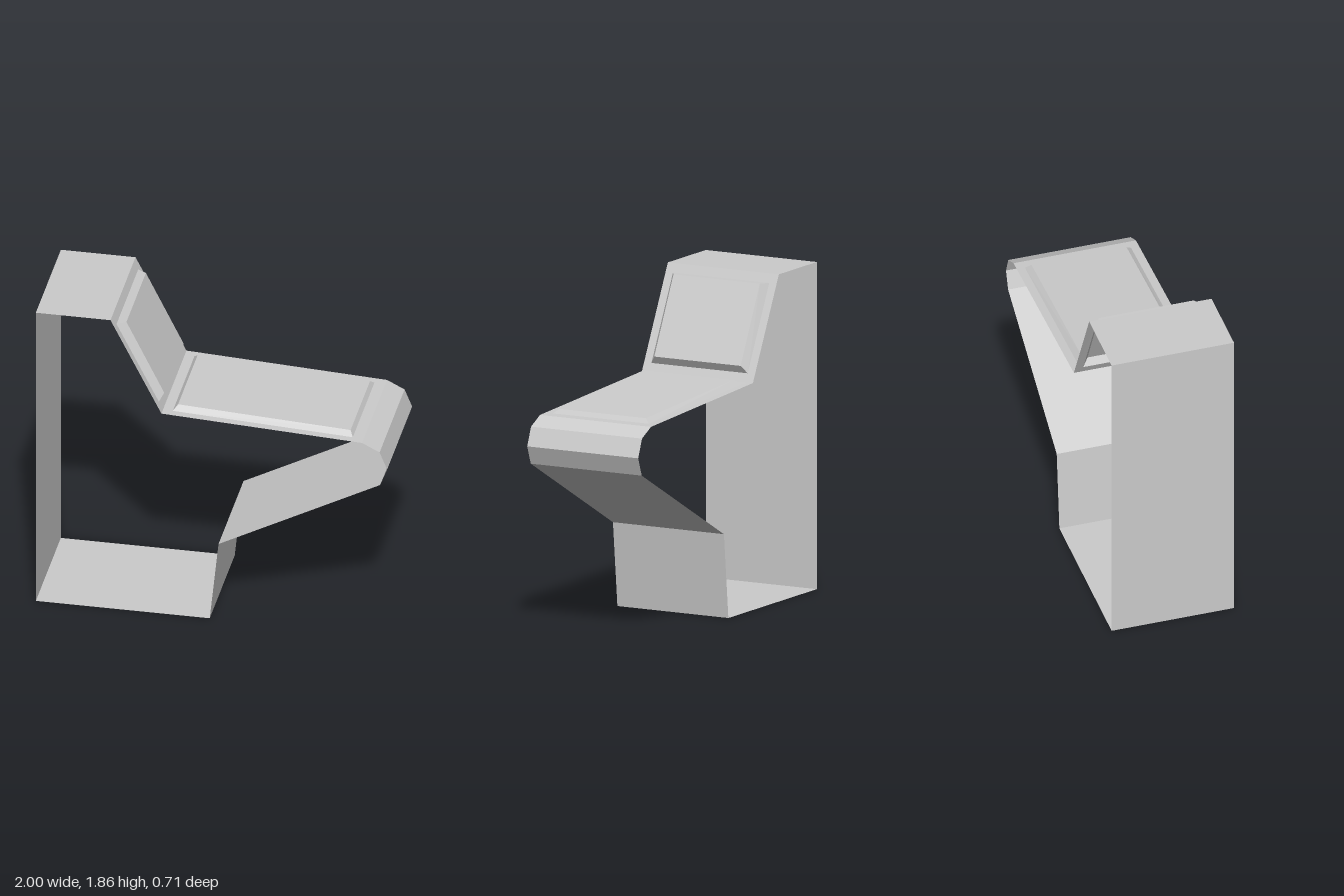
import * as THREE from 'three';

const HALF = 0.3575; // half depth of the ribbon
const material = new THREE.MeshStandardMaterial({
  color: 0xcccccc, flatShading: true, side: THREE.DoubleSide,
});

// Rectangle spanning profile points p to q, from +z to -z
const rect = ([px, py], [qx, qy], z) => [[px, py, z], [qx, qy, z], [qx, qy, -z], [px, py, -z]];

// Flat-faced mesh from a list of four-cornered faces
function quadMesh(name, quads) {
  const positions = quads.flatMap(([a, b, c, d]) => [a, b, c, a, c, d]).flat();
  const geometry = new THREE.BufferGeometry();
  geometry.setAttribute('position', new THREE.Float32BufferAttribute(positions, 3));
  geometry.computeVertexNormals();
  const mesh = new THREE.Mesh(geometry, material);
  mesh.name = name;
  return mesh;
}

// Faces joining an outer rectangle to an inner one
const ring = (outer, inner) => outer.map((a, i) => {
  const j = (i + 1) % 4;
  return [a, outer[j], inner[j], inner[i]];
});

// Flat border with a bevelled pad raised out of its opening, hollow from behind
function paddedPanel(name, border, base, top) {
  const group = new THREE.Group();
  group.name = name;
  group.add(
    quadMesh(name + 'Border', ring(border, base)),
    quadMesh(name + 'Pad', [...ring(base, top), top]),
  );
  return group;
}

export function createModel() {
  const model = new THREE.Group();
  model.name = 'ribbonConsole';

  // Side profile of the thin folded ribbon, from the back foot round to the front foot
  const profile = [
    [-1, 0], [-1, 1.86], [-0.575, 1.86], [-0.285, 1.29], [0.857, 1.23],
    [0.957, 1.18], [1, 1.075], [0.96, 0.97], [0.04, 0.485], [-0.01, 0],
  ];
  const names = ['backWall', 'topShelf', 'screen', 'deck', 'noseUpper',
    'noseFront', 'noseLower', 'slopingUnderside', 'frontFoot', 'floorPlate'];

  // Raised pads: base ends, top ends, and half depths of each
  const pads = {
    screen: {
      base: rect([-0.55, 1.811], [-0.309, 1.337], 0.31),
      top: rect([-0.5, 1.812], [-0.285, 1.38], 0.278),
    },
    deck: {
      base: rect([-0.23, 1.287], [0.795, 1.233], 0.31),
      top: rect([-0.206, 1.314], [0.776, 1.259], 0.278),
    },
  };

  names.forEach((name, i) => {
    const face = rect(profile[i], profile[(i + 1) % profile.length], HALF);
    const pad = pads[name];
    model.add(pad ? paddedPanel(name, face, pad.base, pad.top) : quadMesh(name, [face]));
  });
  return model;
}
